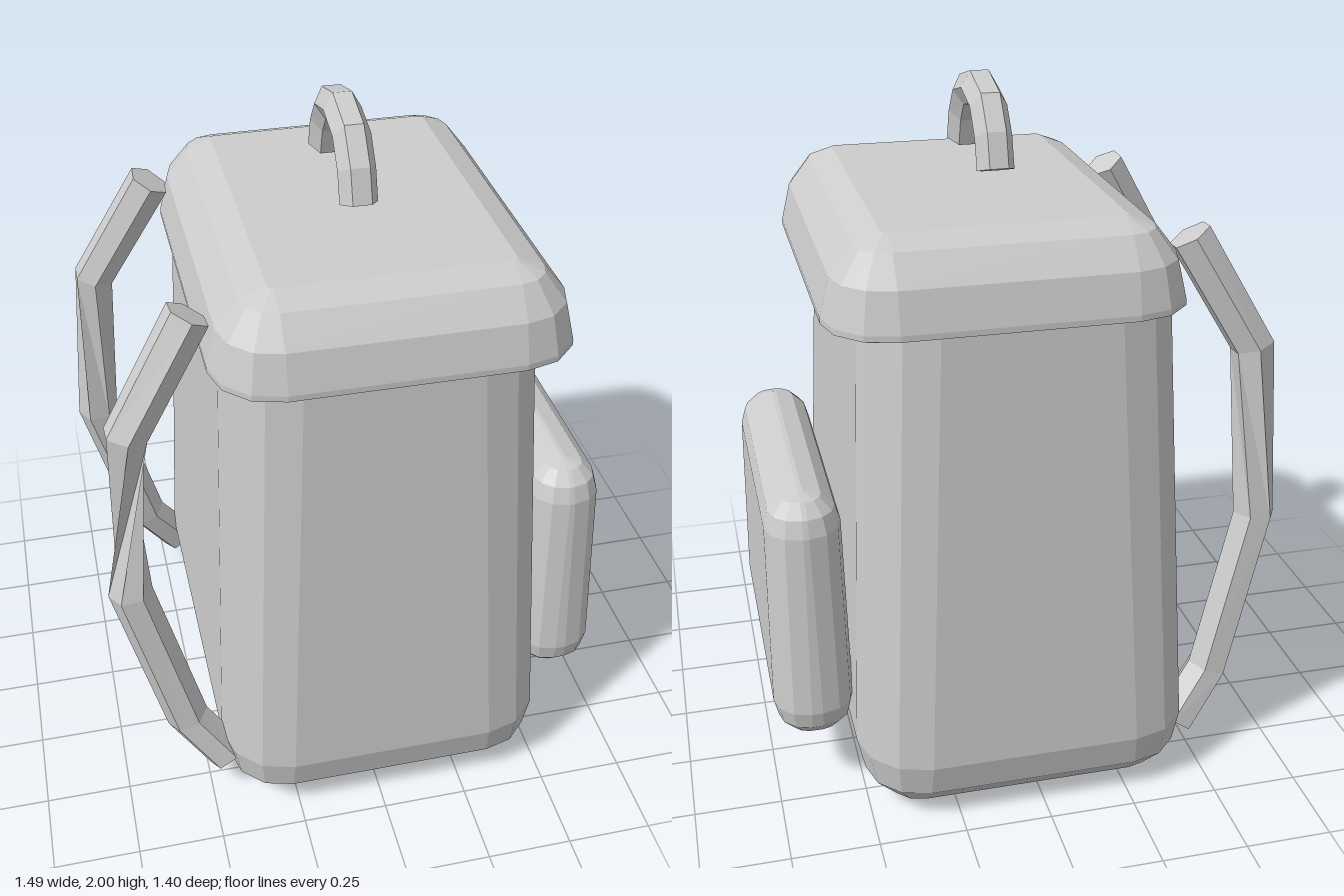
import * as THREE from 'three';

const V = (x, y, z) => new THREE.Vector3(x, y, z);

// Closed faceted solid through a stack of rings, each ring counter-clockwise about the stack direction
function skin(rings) {
  const pos = [];
  const tri = (...pts) => pts.forEach((p) => pos.push(p.x, p.y, p.z));
  const mid = (ring) => ring.reduce((s, p) => s.add(p), V(0, 0, 0)).divideScalar(ring.length);
  const n = rings[0].length;
  const last = rings[rings.length - 1];
  const c0 = mid(rings[0]);
  const c1 = mid(last);
  for (let j = 0; j < n; j++) {
    const k = (j + 1) % n;
    for (let i = 0; i < rings.length - 1; i++) {
      const lo = rings[i];
      const hi = rings[i + 1];
      tri(lo[j], lo[k], hi[k]);
      tri(lo[j], hi[k], hi[j]);
    }
    tri(c0, rings[0][k], rings[0][j]);
    tri(c1, last[j], last[k]);
  }
  const g = new THREE.BufferGeometry();
  g.setAttribute('position', new THREE.Float32BufferAttribute(pos, 3));
  g.computeVertexNormals();
  return g;
}

// Horizontal rounded rectangle with three facets per corner
function roundRing(y, cx, hx, hz, r) {
  const pts = [];
  for (let q = 0; q < 4; q++) {
    const sx = q === 0 || q === 3 ? 1 : -1;
    const sz = q < 2 ? -1 : 1;
    for (let s = 0; s <= 3; s++) {
      const a = ((q + s / 3) * Math.PI) / 2;
      pts.push(V(cx + sx * (hx - r) + r * Math.cos(a), y, sz * (hz - r) - r * Math.sin(a)));
    }
  }
  return pts;
}

// Rings of a box with rounded edges; size(y) gives [cx, hx, hz] so the box can taper
function roundBoxRings(y0, y1, r, size, roundTop) {
  const rings = [];
  const add = (y, inset) => {
    const [cx, hx, hz] = size(y);
    rings.push(roundRing(y, cx, hx - inset, hz - inset, Math.max(r - inset, 0.002)));
  };
  for (let s = 0; s <= 3; s++) {
    const a = (s * Math.PI) / 6;
    add(y0 + r * (1 - Math.sin(Math.PI / 2 - (Math.PI / 2 - a))), r * (1 - Math.sin(Math.PI / 2 - a)));
  }
  rings.reverse();
  if (roundTop) {
    for (let s = 0; s <= 3; s++) {
      const a = (s * Math.PI) / 6;
      add(y1 - r * (1 - Math.sin(a)), r * (1 - Math.cos(a)));
    }
  } else add(y1, 0);
  return rings.sort((p, q) => p[0].y - q[0].y);
}

// Six-sided band along a path, optionally twisted at each point
function band(path, radius, ref, twist = []) {
  return skin(path.map((p, i) => {
    const t = path[Math.min(i + 1, path.length - 1)].clone().sub(path[Math.max(i - 1, 0)]).normalize();
    const u = ref.clone().addScaledVector(t, -ref.dot(t)).normalize();
    const v = t.clone().cross(u);
    return Array.from({ length: 6 }, (_, k) => {
      const a = (k * Math.PI) / 3 + (twist[i] || 0);
      return p.clone().addScaledVector(u, radius * Math.cos(a)).addScaledVector(v, radius * Math.sin(a));
    });
  }));
}

export function createModel() {
  const model = new THREE.Group();
  model.name = 'backpack';
  const fabric = new THREE.MeshStandardMaterial({ color: 0xcccccc });
  fabric.name = 'light grey fabric';
  const add = (name, geometry) => {
    const mesh = new THREE.Mesh(geometry, fabric);
    mesh.name = name;
    model.add(mesh);
  };
  const lerp = THREE.MathUtils.lerp;

  // Tapered main bag with rounded base
  add('body', skin(roundBoxRings(0, 1.48, 0.19, (y) => {
    const t = (y - 0.19) / 1.26;
    return [0.033, lerp(0.49, 0.433, t), lerp(0.702, 0.612, t)];
  }, false)));

  // Domed lid: height and inset from the rim
  const lid = [[1.44, 0.045], [1.458, 0], [1.475, 0], [1.585, 0.027], [1.665, 0.09], [1.695, 0.165]];
  add('lid', skin(lid.map(([y, d]) => roundRing(y, 0.065, 0.497 - d, 0.627 - d, 0.18 - d))));

  // Front pocket
  add('frontPocket', skin(roundBoxRings(0.185, 0.935, 0.1, (y) => {
    const t = (y - 0.285) / 0.55;
    return [0.63, lerp(0.116, 0.108, t), lerp(0.497, 0.46, t)];
  }, true)));

  // Carry handle arching from front to back
  const half = [[0.195, 1.766], [0.168, 1.852], [0.11, 1.925]];
  const arch = [...half, [0, 1.954], ...half.map(([z, y]) => [-z, y]).reverse()];
  add('carryHandle', band(arch.map(([z, y]) => V(0.033, y, z)), 0.053, V(1, 0, 0)));

  // Shoulder straps, twisted midway
  const strap = [[-0.465, 1.605, 0.39], [-0.655, 1.28, 0.43], [-0.685, 0.76, 0.46], [-0.555, 0.27, 0.5], [-0.445, 0.115, 0.53]];
  for (const [name, s] of [['leftStrap', 1], ['rightStrap', -1]]) {
    const turn = (s * Math.PI) / 2;
    add(name, band(strap.map(([x, y, z]) => V(x, y, s * z)), 0.063, V(0, 0, 1), [0, 0, turn, turn, turn]));
  }
  return model;
}
